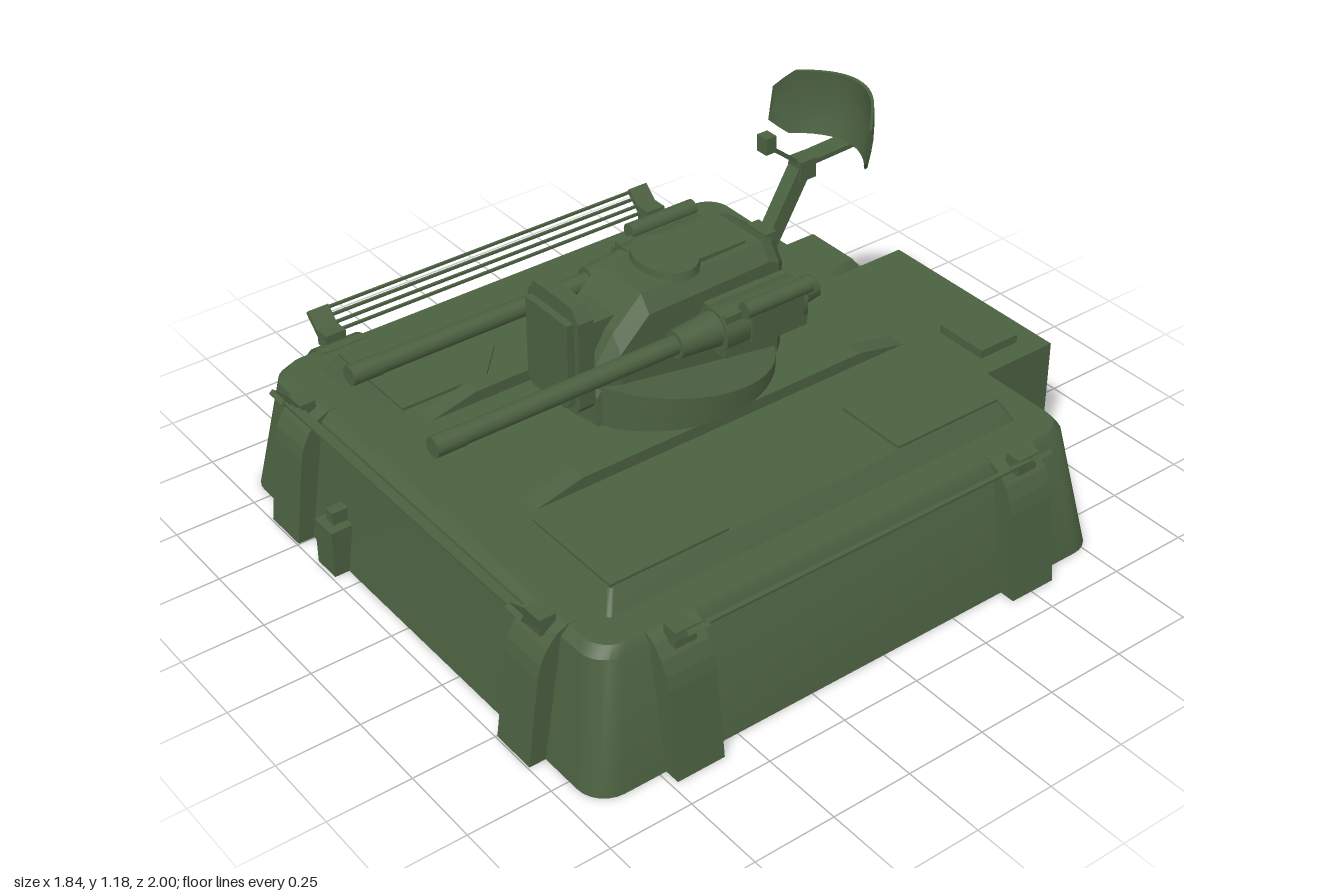
import * as THREE from 'three';
import { toCreasedNormals } from 'three/addons/utils/BufferGeometryUtils.js';

const paint = new THREE.MeshStandardMaterial({ color: 0x4b6040, side: THREE.DoubleSide });

function add(parent, name, geometry, x = 0, y = 0, z = 0) {
  const mesh = new THREE.Mesh(geometry, paint);
  mesh.name = name;
  mesh.position.set(x, y, z);
  parent.add(mesh);
  return mesh;
}

// Box from its minimum and maximum corners
function box(parent, name, x0, x1, y0, y1, z0, z1) {
  return add(parent, name, new THREE.BoxGeometry(x1 - x0, y1 - y0, z1 - z0),
    (x0 + x1) / 2, (y0 + y1) / 2, (z0 + z1) / 2);
}

// Outline in (x, y), extruded along z and centred
function prism(points, width) {
  const shape = new THREE.Shape(points.map(p => new THREE.Vector2(...p)));
  return new THREE.ExtrudeGeometry(shape, { depth: width, bevelEnabled: false }).translate(0, 0, -width / 2);
}

// Outline in (z, y), extruded along x and centred
const sidePrism = (points, width) => prism(points, width).rotateY(-Math.PI / 2);

// Cylinder along z between two depths
function tubeZ(parent, name, x, y, z0, z1, rBack, rFront = rBack, sides = 20) {
  const g = new THREE.CylinderGeometry(rFront, rBack, z1 - z0, sides).rotateX(Math.PI / 2);
  if (sides === 8) g.rotateZ(Math.PI / 8);
  return add(parent, name, g, x, y, (z0 + z1) / 2);
}

// Square bar between two points
function bar(parent, name, a, b, w, d) {
  const p = new THREE.Vector3(...a), q = new THREE.Vector3(...b);
  const mesh = add(parent, name, new THREE.BoxGeometry(w, d, p.distanceTo(q)));
  mesh.position.copy(p).lerp(q, 0.5);
  mesh.lookAt(q);
  return mesh;
}

// Skin over equal-length closed rings of points, with optional end caps
function loft(rings, capStart, capEnd, crease = 0.6) {
  const n = rings[0].length, index = [];
  for (let i = 0; i < rings.length - 1; i++) {
    for (let j = 0; j < n; j++) {
      const a = i * n + j, b = i * n + (j + 1) % n;
      index.push(a, b, b + n, a, b + n, a + n);
    }
  }
  const last = (rings.length - 1) * n;
  for (let j = 1; j < n - 1; j++) {
    if (capStart) index.push(0, j + 1, j);
    if (capEnd) index.push(last, last + j, last + j + 1);
  }
  const g = new THREE.BufferGeometry();
  g.setAttribute('position', new THREE.Float32BufferAttribute(rings.flat(2), 3));
  g.setIndex(index);
  return toCreasedNormals(g, crease);
}

// Rounded rectangle at height y
function roundedRing(hw, z0, z1, r, y) {
  const ring = [];
  const corners = [[hw - r, z1 - r], [hw - r, z0 + r], [-hw + r, z0 + r], [-hw + r, z1 - r]];
  corners.forEach(([cx, cz], k) => {
    for (let i = 0; i <= 6; i++) {
      const a = Math.PI / 2 * (1 - k - i / 6);
      ring.push([cx + r * Math.cos(a), y, cz + r * Math.sin(a)]);
    }
  });
  return ring;
}

// Rack of thin rails on two tilted brackets
function makeRack() {
  const rack = new THREE.Group();
  rack.name = 'railRack';
  for (const s of [-1, 1]) {
    bar(rack, 'rackBracket', [s * 0.58, 0.37, -0.05], [s * 0.58, 0.455, 0.04], 0.068, 0.016);
    box(rack, 'rackFoot', s * 0.58 - 0.033, s * 0.58 + 0.033, 0.37, 0.42, -0.06, -0.01);
  }
  for (let i = 0; i < 4; i++) {
    box(rack, 'rail', -0.58, 0.58, 0.395 + i * 0.017, 0.403 + i * 0.017, -0.024 + i * 0.018, -0.016 + i * 0.018);
  }
  return rack;
}

function buildHull(hull) {
  // Open-bottomed shell with raised deck
  add(hull, 'shell', loft([
    roundedRing(0.87, -0.8, 0.945, 0.085, 0),
    roundedRing(0.803, -0.733, 0.885, 0.08, 0.375),
    roundedRing(0.785, -0.715, 0.86, 0.075, 0.4),
    roundedRing(0.69, -0.62, 0.77, 0.012, 0.4),
    roundedRing(0.655, -0.59, 0.74, 0.012, 0.455),
  ], false, true));

  // Rounded ribs on the front and both sides
  const rib = o => [[o - 0.12, 0], [o, 0], [o - 0.035, 0.27], [o - 0.045, 0.31], [o - 0.065, 0.35],
    [o - 0.095, 0.385], [o - 0.13, 0.402], [o - 0.16, 0.402]];
  for (const s of [-1, 1]) {
    add(hull, 'frontRib', sidePrism(rib(0.995), 0.145), s * 0.575);
    for (const z of [-0.505, 0.655]) {
      const side = add(hull, 'sideRib', prism(rib(0.918), 0.15), 0, 0, z);
      if (s < 0) side.rotation.y = Math.PI;
    }
  }

  // Rail racks
  [[0, 0.935, 0], [0.865, 0.075, Math.PI / 2], [-0.865, 0.075, -Math.PI / 2]].forEach(([x, z, turn]) => {
    const rack = makeRack();
    rack.position.set(x, 0, z);
    rack.rotation.y = turn;
    hull.add(rack);
  });

  // Deck plates with a cut inner corner, and long skids
  for (const s of [-1, 1]) {
    for (const [outer, cut, inner] of [[-0.585, -0.33, -0.22], [0.735, 0.46, 0.36]]) {
      const plate = [[0.31, outer], [0.31, cut], [0.42, inner], [0.65, inner], [0.65, outer]];
      const g = prism(plate.map(([x, z]) => [s * x, -z]), 0.012).rotateX(-Math.PI / 2);
      add(hull, 'deckPlate', g, 0, 0.458, 0);
    }
    add(hull, 'skid', sidePrism([[-0.59, 0.45], [-0.41, 0.49], [0.55, 0.49], [0.72, 0.45]], 0.055), s * 0.25);
  }

  // Small fitting on the front
  box(hull, 'frontFitting', -0.4, -0.31, 0, 0.15, 0.9, 0.99);
  box(hull, 'frontFittingTop', -0.375, -0.34, 0.15, 0.19, 0.9, 0.965);

  // Rear cabinet with doors, handle and roof hatch
  box(hull, 'rearCabinet', -0.2, 0.46, 0, 0.385, -0.985, -0.72);
  box(hull, 'cabinetDoor', -0.185, 0.125, 0.015, 0.37, -0.992, -0.98);
  box(hull, 'cabinetDoor', 0.135, 0.445, 0.015, 0.37, -0.992, -0.98);
  box(hull, 'cabinetHandle', -0.15, -0.13, 0.15, 0.23, -1, -0.985);
  box(hull, 'cabinetHatch', 0.22, 0.395, 0.38, 0.412, -0.91, -0.77);

  // Rear bin with sloped lid
  add(hull, 'rearBin', loft([
    roundedRing(0.132, -0.912, -0.72, 0.004, 0),
    roundedRing(0.132, -0.912, -0.72, 0.004, 0.29),
    roundedRing(0.095, -0.875, -0.72, 0.004, 0.35),
  ], true, true), -0.382);
}

function buildTurret(turret) {
  // Wedge-shaped turntable, higher at the front
  const ring = new THREE.CylinderGeometry(1, 1, 1, 48);
  const p = ring.attributes.position;
  for (let i = 0; i < p.count; i++) {
    const z = p.getZ(i) * 0.325 + 0.075;
    p.setXYZ(i, p.getX(i) * 0.29, p.getY(i) > 0 ? 0.565 + 0.17 * (z - 0.075) : 0.49, z);
  }
  add(turret, 'turntable', toCreasedNormals(ring, 0.6));
  add(turret, 'turntableBearing', new THREE.CylinderGeometry(0.21, 0.21, 0.06, 40), 0, 0.47, 0.07);

  // Body: sections of half width and height along z
  const sections = [[-0.265, 0.095, 0.81], [-0.225, 0.13, 0.835], [-0.19, 0.13, 0.85],
    [0.22, 0.13, 0.84], [0.315, 0.13, 0.75], [0.385, 0.115, 0.63]];
  add(turret, 'body', loft(sections.map(([z, w, h]) => [[-w, 0.49, z], [w, 0.49, z], [w, h - 0.05, z],
    [w - 0.035, h, z], [-w + 0.035, h, z], [-w, h - 0.05, z]]), true, true, 0.15));
  box(turret, 'roofPad', -0.075, 0.075, 0.84, 0.858, -0.15, 0.1);
  add(turret, 'roofHatch', new THREE.CylinderGeometry(0.11, 0.115, 0.025, 32).scale(1, 1, 0.75), 0, 0.85, 0.07);

  // Sight box at the front
  box(turret, 'sightNeck', -0.06, 0.06, 0.58, 0.78, 0.2, 0.4);
  add(turret, 'sightHousing', prism([[-0.1, 0.55], [0.1, 0.55], [0.115, 0.57], [0.115, 0.835], [0.085, 0.875],
    [-0.085, 0.875], [-0.115, 0.835], [-0.115, 0.57]], 0.05), 0, 0, 0.415);
  add(turret, 'sightWindow', prism([[-0.075, 0.56], [0.075, 0.56], [0.095, 0.58], [0.095, 0.83],
    [-0.095, 0.83], [-0.095, 0.58]], 0.03), 0, 0, 0.447);

  // Twin guns
  for (const s of [-1, 1]) {
    const gun = new THREE.Group();
    gun.name = s > 0 ? 'leftGun' : 'rightGun';
    turret.add(gun);
    const x = s * 0.2;
    tubeZ(gun, 'receiver', x, 0.715, -0.22, 0.06, 0.068, 0.068, 8);
    box(gun, 'receiverCase', x - 0.05, x + 0.05, 0.645, 0.775, -0.23, 0.055);
    tubeZ(gun, 'recoilCover', x, 0.72, -0.29, -0.22, 0.035, 0.045, 8);
    tubeZ(gun, 'sleeve', x, 0.72, 0.05, 0.19, 0.052, 0.04);
    tubeZ(gun, 'barrel', x, 0.72, 0.18, 0.95, 0.027);
    tubeZ(gun, 'muzzle', x, 0.72, 0.86, 0.95, 0.029);
    box(gun, 'trunnion', Math.min(s * 0.11, s * 0.16), Math.max(s * 0.11, s * 0.16), 0.67, 0.76, -0.15, 0.02);
    tubeZ(gun, 'canister', s * 0.258, 0.782, -0.225, 0, 0.024);
    box(gun, 'canisterMount', s * 0.25 - 0.02, s * 0.25 + 0.02, 0.68, 0.77, -0.2, -0.02);
  }
}

function buildRadar(radar) {
  // Mast, joint and arms
  box(radar, 'mastFoot', -0.04, 0.04, 0.68, 0.82, -0.29, -0.25);
  bar(radar, 'mast', [0, 0.73, -0.265], [-0.005, 0.96, -0.405], 0.045, 0.05);
  box(radar, 'joint', -0.03, 0.025, 0.935, 0.995, -0.44, -0.385);
  bar(radar, 'dishArm', [-0.005, 0.982, -0.41], [-0.015, 0.982, -0.59], 0.06, 0.014);
  bar(radar, 'feedArm', [0, 0.98, -0.4], [0.01, 1.08, -0.275], 0.012, 0.012);
  box(radar, 'feedHorn', -0.01, 0.03, 1.065, 1.115, -0.29, -0.255);

  // Curved dish with cut corners, made as a thin closed skin
  const rings = [];
  for (let i = 0; i <= 20; i++) {
    const u = i / 10 - 1;
    const h = 0.095 - 0.045 * Math.max(0, (Math.abs(u) - 0.82) / 0.18);
    const point = (v, t) => [u * 0.182, v * h, 0.125 * u * u + 0.012 * v * v - v * 0.008 - t];
    rings.push([...[-1, -0.5, 0, 0.5, 1].map(v => point(v, 0)), ...[1, 0.5, 0, -0.5, -1].map(v => point(v, 0.012))]);
  }
  add(radar, 'dish', loft(rings, true, true), -0.005, 1.085, -0.59).rotation.y = 0.11;
}

export function createModel() {
  const model = new THREE.Group();
  model.name = 'gunTurret';
  for (const [name, build] of [['hull', buildHull], ['turret', buildTurret], ['radar', buildRadar]]) {
    const group = new THREE.Group();
    group.name = name;
    build(group);
    model.add(group);
  }
  return model;
}
